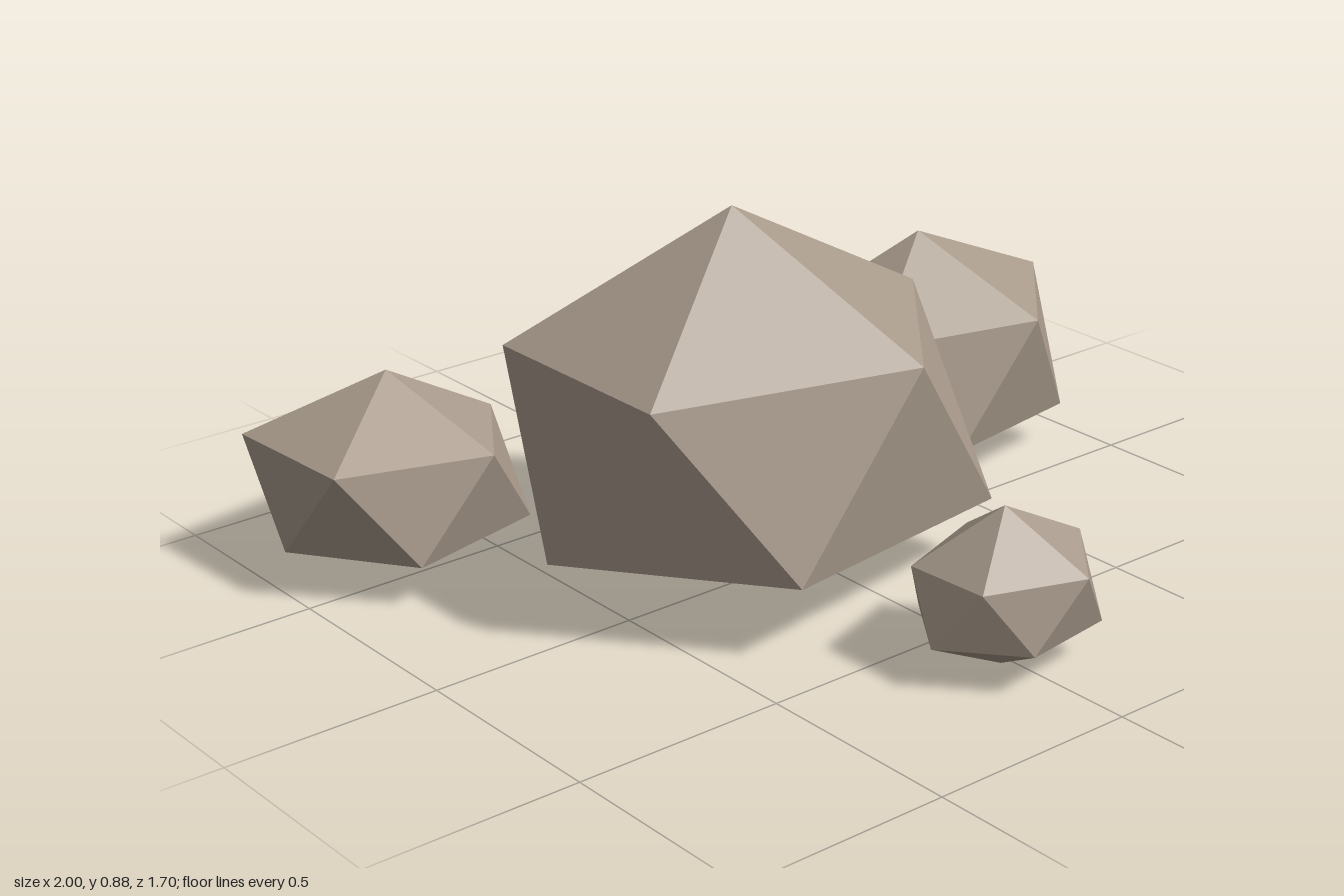
import * as THREE from 'three';

// Faceted boulder: top point, five-sided upper ring, five-sided lower ring, bottom point.
// Rings hold [x, y, z] corners, counter-clockwise seen from above.
function boulder(name, material, [x, height, z], upper, lower) {
  const top = [x, height, z], base = [x, 0, z], points = [];
  for (let i = 0; i < 5; i++) {
    const j = (i + 1) % 5;
    points.push(...top, ...upper[i], ...upper[j]);        // cap
    points.push(...upper[i], ...lower[i], ...upper[j]);   // sides
    points.push(...lower[i], ...lower[j], ...upper[j]);
    points.push(...lower[i], ...base, ...lower[j]);       // underside
  }
  const geometry = new THREE.BufferGeometry();
  geometry.setAttribute('position', new THREE.Float32BufferAttribute(points, 3));
  geometry.computeVertexNormals();
  const mesh = new THREE.Mesh(geometry, material);
  mesh.name = name;
  return mesh;
}

export function createModel() {
  const group = new THREE.Group();
  group.name = 'boulders';
  const stone = new THREE.MeshStandardMaterial({ color: 0xa89a8b, flatShading: true });
  stone.name = 'warm stone';

  group.add(
    boulder('largeBoulder', stone, [-0.19, 0.88, -0.015],
      [[0.337, 0.59, -0.015], [-0.01, 0.6, -0.46], [-0.615, 0.59, -0.275], [-0.605, 0.585, 0.23], [-0.02, 0.593, 0.412]],
      [[0.267, 0.16, -0.29], [-0.37, 0.18, -0.48], [-0.7, 0.19, -0.015], [-0.355, 0.18, 0.412], [0.313, 0.152, 0.285]]),
    boulder('rightBoulder', stone, [0.605, 0.575, -0.29],
      [[0.998, 0.405, -0.29], [0.717, 0.395, -0.573], [0.335, 0.385, -0.45], [0.33, 0.385, -0.13], [0.72, 0.402, 0.01]],
      [[0.89, 0.105, -0.455], [0.5, 0.122, -0.558], [0.243, 0.115, -0.29], [0.5, 0.12, -0.01], [0.918, 0.103, -0.1]]),
    boulder('backBoulder', stone, [-0.717, 0.465, -0.588],
      [[-0.443, 0.31, -0.588], [-0.63, 0.312, -0.838], [-0.985, 0.325, -0.77], [-0.965, 0.325, -0.42], [-0.62, 0.32, -0.317]],
      [[-0.465, 0.098, -0.76], [-0.81, 0.1, -0.853], [-1, 0.105, -0.588], [-0.81, 0.1, -0.333], [-0.46, 0.095, -0.42]]),
    boulder('smallBoulder', stone, [-0.023, 0.365, 0.668],
      [[0.202, 0.245, 0.668], [0.043, 0.243, 0.487], [-0.185, 0.237, 0.56], [-0.172, 0.237, 0.762], [0.043, 0.243, 0.852]],
      [[0.155, 0.088, 0.555], [-0.09, 0.09, 0.482], [-0.225, 0.098, 0.668], [-0.085, 0.096, 0.83], [0.158, 0.086, 0.785]])
  );
  return group;
}
